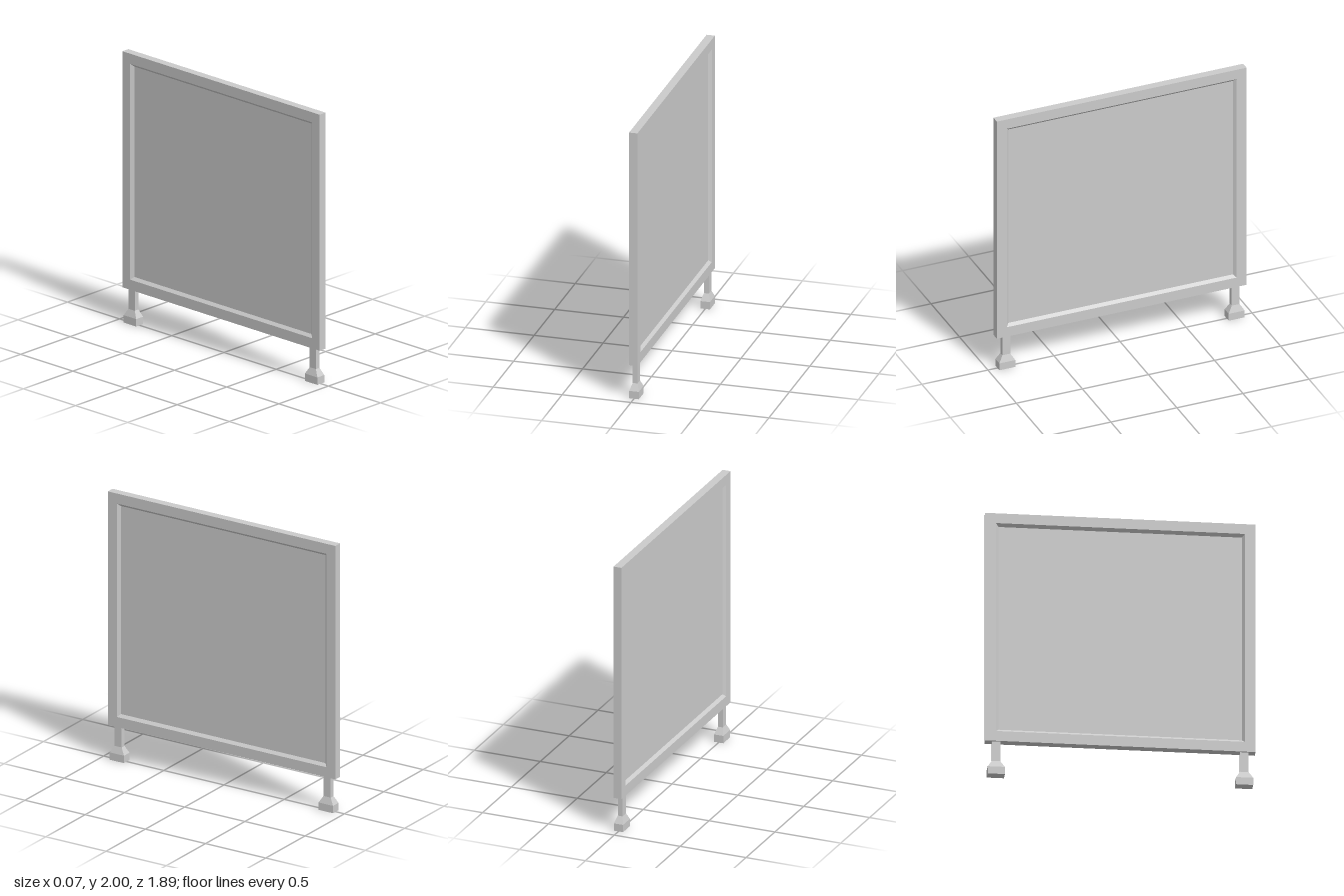
import * as THREE from 'three';

const material = new THREE.MeshStandardMaterial({ color: 0xcccccc, flatShading: true });

// Skins a series of rectangles [halfX, halfZ, y] with flat faces
function loftRectangles(rings) {
  const corners = [[1, 1], [1, -1], [-1, -1], [-1, 1]];
  const point = ([hx, hz, y], k) => [corners[k % 4][0] * hx, y, corners[k % 4][1] * hz];
  const positions = [];
  for (let i = 0; i < rings.length - 1; i++) {
    for (let k = 0; k < 4; k++) {
      const a = point(rings[i], k), b = point(rings[i], k + 1);
      const c = point(rings[i + 1], k + 1), d = point(rings[i + 1], k);
      positions.push(...a, ...b, ...c, ...a, ...c, ...d);
    }
  }
  const geometry = new THREE.BufferGeometry();
  geometry.setAttribute('position', new THREE.Float32BufferAttribute(positions, 3));
  geometry.computeVertexNormals();
  return geometry;
}

function addMesh(parent, name, geometry, x, y, z) {
  const mesh = new THREE.Mesh(geometry, material);
  mesh.name = name;
  mesh.position.set(x, y, z);
  parent.add(mesh);
}

export function createModel() {
  const group = new THREE.Group();
  group.name = 'standingBoard';

  const bottom = 0.255, top = 2, halfDepth = 0.945;
  const halfHeight = (top - bottom) / 2, middle = (top + bottom) / 2;
  const rim = 0.075, bevel = 0.095; // border widths to the outer and inner bevel edges
  const rect = (inset, x) => [halfHeight - inset, halfDepth - inset, x];

  // Rectangular frame, bevelled towards the panel on both faces
  const frame = loftRectangles([
    rect(bevel, -0.01), rect(rim, -0.03), rect(0, -0.03),
    rect(0, 0.03), rect(rim, 0.03), rect(bevel, 0.01),
  ]);
  frame.rotateZ(-Math.PI / 2);
  addMesh(group, 'frame', frame, 0, middle, 0);

  // Recessed panel
  const panel = new THREE.BoxGeometry(0.02, 2 * (halfHeight - bevel), 2 * (halfDepth - bevel));
  addMesh(group, 'panel', panel, 0, middle, 0);

  // Legs: block foot, sloped shoulder and slim post
  const leg = loftRectangles([
    [0, 0, 0], [0.035, 0.06, 0], [0.035, 0.06, 0.055],
    [0.018, 0.03, 0.105], [0.018, 0.03, bottom],
  ]);
  addMesh(group, 'frontLeg', leg, 0, 0, 0.868);
  addMesh(group, 'backLeg', leg, 0, 0, -0.868);

  return group;
}
